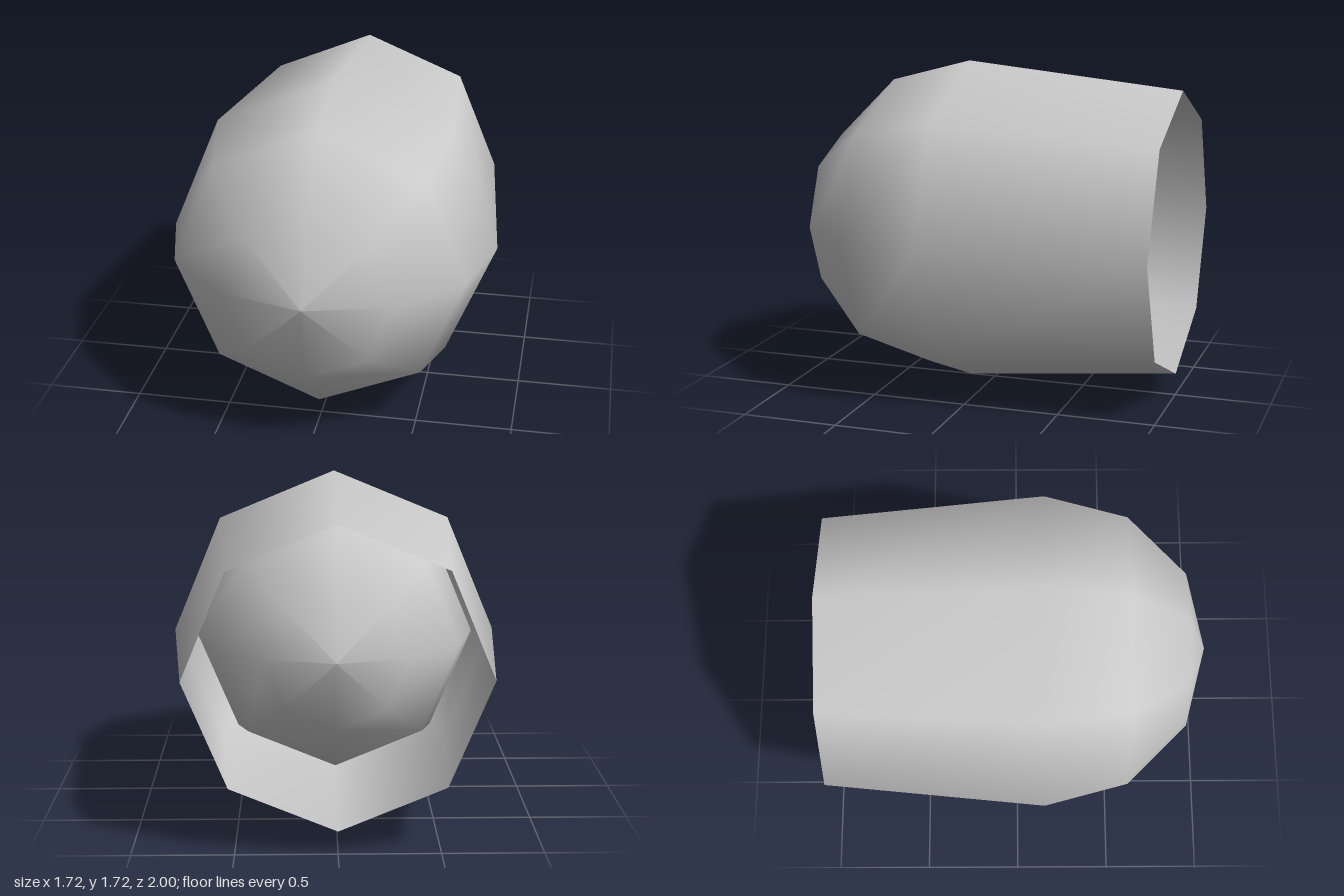
import * as THREE from 'three';

const SIDES = 8;
const CENTRE_Y = 0.86;

// Points on an arc of the given radius about (0, centre), from one polar angle to another, in 30 degree steps
function arc(radius, centre, fromDeg, toDeg) {
  const points = [];
  for (let d = fromDeg; d <= toDeg; d += 30) {
    const a = THREE.MathUtils.degToRad(d);
    points.push(new THREE.Vector2(Math.max(0, radius * Math.cos(a)), centre + radius * Math.sin(a)));
  }
  return points;
}

// Eight-sided lathe with its axis laid along z
function turned(name, profile, side) {
  const geometry = new THREE.LatheGeometry(profile, SIDES);
  geometry.rotateX(Math.PI / 2);
  const mesh = new THREE.Mesh(geometry, new THREE.MeshStandardMaterial({ color: 0xcccccc, side }));
  mesh.name = name;
  mesh.position.y = CENTRE_Y;
  return mesh;
}

export function createModel() {
  const group = new THREE.Group();
  group.name = 'capsule';

  // Tapered sleeve, open at the back, closed by a rounded nose
  const shell = [new THREE.Vector2(0.745, -1), ...arc(0.86, 0.14, 0, 90)];
  group.add(turned('outerShell', shell, THREE.DoubleSide));

  // Ball held inside the sleeve
  group.add(turned('innerBall', arc(0.74, 0.08, -90, 90), THREE.FrontSide));

  return group;
}
